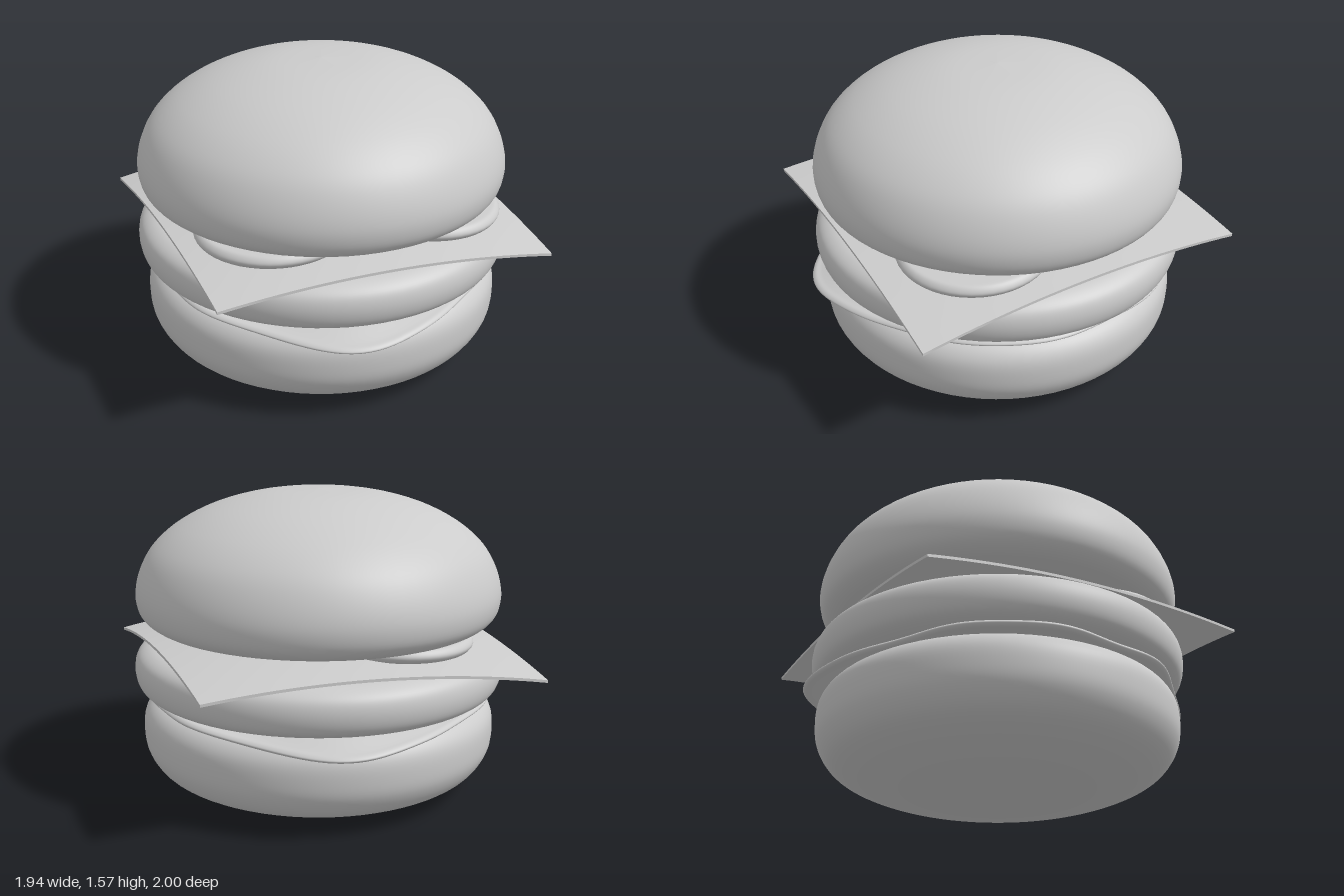
import * as THREE from 'three';

const material = new THREE.MeshStandardMaterial({ color: 0xcccccc });

// Smooth solid of revolution through [radius, y] points, listed bottom to top
function round(name, points, segments = 72, divisions = 48) {
  const curve = new THREE.CatmullRomCurve3(
    points.map(([r, y]) => new THREE.Vector3(r, y, 0)), false, 'centripetal');
  const profile = curve.getPoints(divisions).map(p => new THREE.Vector2(Math.max(p.x, 0), p.y));
  const mesh = new THREE.Mesh(new THREE.LatheGeometry(profile, segments), material);
  mesh.name = name;
  return mesh;
}

// Move every vertex by a rule
function reshape(geometry, rule) {
  const pos = geometry.attributes.position;
  const v = new THREE.Vector3();
  for (let i = 0; i < pos.count; i++) {
    rule(v.fromBufferAttribute(pos, i));
    pos.setXYZ(i, v.x, v.y, v.z);
  }
  geometry.computeVertexNormals();
}

function makeLettuce() {
  const lettuce = round('lettuce', [
    [0, -0.012], [0.5, -0.012], [0.8, -0.012], [0.95, -0.016], [0.985, -0.014],
    [1, 0], [0.985, 0.014], [0.95, 0.016], [0.8, 0.012], [0.5, 0.012], [0, 0.012],
  ], 144, 60);
  // Two opposite lobes spill out and droop, the rest of the rim ripples
  reshape(lettuce.geometry, v => {
    const r = Math.hypot(v.x, v.z);
    const a = Math.atan2(v.x, v.z);
    const lobe = Math.cos(a + 0.2) ** 2;
    const ripple = Math.sin(6 * a + 1) + 0.6 * Math.sin(10 * a);
    const reach = 0.91 + 0.105 * lobe ** 8 + 0.012 * ripple * (1 - lobe ** 4);
    const rim = THREE.MathUtils.smoothstep(r, 0.8, 1);
    v.x *= reach;
    v.z *= reach;
    v.y += 0.505 + rim * (0.004 * ripple - 0.055 * lobe ** 2);
  });
  return lettuce;
}

function makeCheese() {
  const geometry = new THREE.BoxGeometry(1.76, 0.014, 1.76, 24, 1, 24);
  // Two opposite corners droop further than the other two
  reshape(geometry, v => {
    v.y += 0.847 - 0.054 * (v.x + v.z) ** 2 - 0.029 * (v.x - v.z) ** 2;
  });
  const cheese = new THREE.Mesh(geometry, material);
  cheese.name = 'cheeseSlice';
  return cheese;
}

function makeTomato(x, y, z, tilt) {
  const slice = round('tomatoSlice', [
    [0, -0.036], [0.33, -0.036], [0.37, -0.03], [0.39, 0],
    [0.37, 0.03], [0.33, 0.036], [0, 0.036],
  ], 48, 30);
  slice.position.set(x, y, z);
  // Lean outward with the cheese beneath
  slice.rotation.set(Math.sign(z) * tilt, 0, -Math.sign(x) * tilt);
  return slice;
}

export function createModel() {
  const group = new THREE.Group();
  group.name = 'burger';

  group.add(round('bottomBun', [
    [0, 0], [0.4, 0.003], [0.6, 0.02], [0.75, 0.06], [0.86, 0.12], [0.92, 0.21],
    [0.935, 0.3], [0.925, 0.4], [0.88, 0.46], [0.8, 0.488], [0, 0.492],
  ]));
  group.add(makeLettuce());
  group.add(round('patty', [
    [0, 0.505], [0.8, 0.505], [0.89, 0.52], [0.95, 0.56], [0.972, 0.64],
    [0.955, 0.715], [0.9, 0.757], [0.8, 0.772], [0, 0.8],
  ]));
  group.add(makeCheese());
  group.add(makeTomato(0.42, 0.834, 0.37, 0.03));
  group.add(makeTomato(-0.41, 0.845, 0.34, 0.01));
  group.add(makeTomato(-0.28, 0.84, -0.39, 0.02));
  group.add(round('topBun', [
    [0, 0.868], [0.8, 0.872], [0.88, 0.892], [0.935, 0.94], [0.956, 1.02], [0.945, 1.11],
    [0.9, 1.22], [0.84, 1.3], [0.73, 1.39], [0.55, 1.48], [0.3, 1.545], [0, 1.565],
  ]));
  return group;
}
